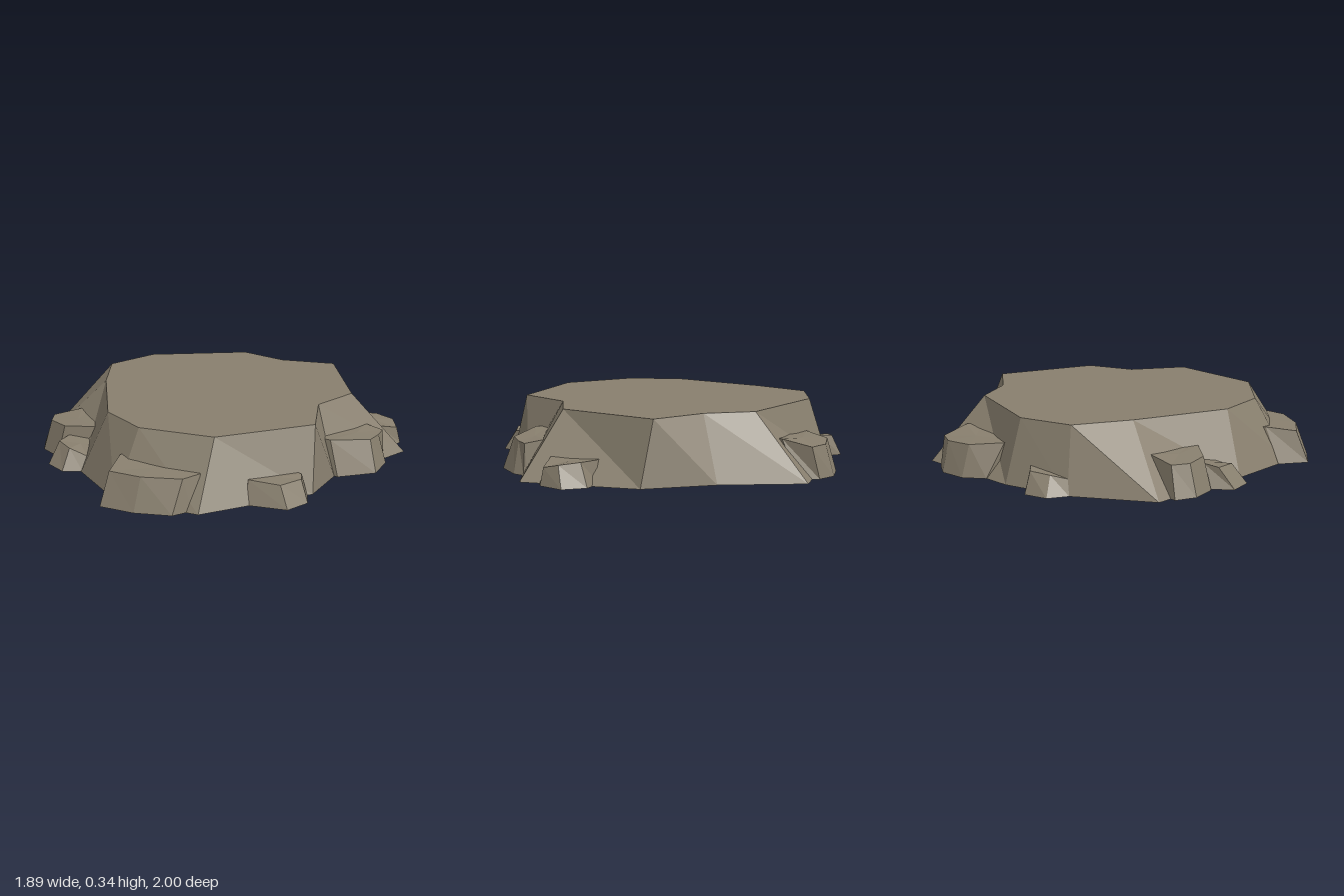
import * as THREE from 'three';

const stone = new THREE.MeshStandardMaterial({ color: 0x887f6e, flatShading: true, side: THREE.DoubleSide });
stone.name = 'stone';

// Faceted wall between a lower and an upper outline, with a cap on the upper one.
// Outlines run from the back through +x to the front; the underside stays open.
function facetedBlock(name, lower, upper, closed) {
  const pos = [];
  const tri = (...pts) => pts.forEach((p) => pos.push(p.x, p.y, p.z));
  const n = upper.length;
  const centre = new THREE.Vector3();
  upper.forEach((p) => centre.addScaledVector(p, 1 / n));
  for (let i = 0; i < n; i++) {
    const j = (i + 1) % n;
    tri(centre, upper[j], upper[i]);
    if (!closed && j === 0) continue;
    tri(lower[i], upper[i], upper[j]);
    tri(lower[i], upper[j], lower[j]);
  }
  const geo = new THREE.BufferGeometry();
  geo.setAttribute('position', new THREE.Float32BufferAttribute(pos, 3));
  geo.computeVertexNormals();
  const mesh = new THREE.Mesh(geo, stone);
  mesh.name = name;
  return mesh;
}

const v = (x, y, z) => new THREE.Vector3(x, y, z);

// Plateau corners: foot x, foot z, rim x, rim z
const HEIGHT = 0.335;
const plateau = [
  [-0.43, -1.0, -0.24, -0.755], [0.01, -0.895, 0.03, -0.735], [0.40, -0.88, 0.32, -0.835],
  [0.93, -0.54, 0.67, -0.39], [0.78, 0.0, 0.61, -0.12], [0.805, 0.28, 0.75, 0.17],
  [0.46, 0.82, 0.42, 0.61], [0.0, 0.89, 0.02, 0.70], [-0.38, 0.68, -0.26, 0.59],
  [-0.89, 0.355, -0.60, 0.16], [-0.89, -0.11, -0.77, -0.12], [-0.77, -0.47, -0.68, -0.41],
];

// Boulder corners: foot x, foot z, top x, top z, top y
const boulders = {
  frontBoulder: [
    [0.41, 0.80, 0.41, 0.72, 0.175], [0.36, 0.90, 0.37, 0.82, 0.17], [0.18, 0.975, 0.18, 0.91, 0.17],
    [-0.01, 1.0, 0.0, 0.93, 0.17], [-0.08, 0.85, -0.05, 0.77, 0.195],
  ],
  frontLowBoulder: [
    [-0.38, 0.67, -0.41, 0.55, 0.10], [-0.38, 0.67, -0.385, 0.62, 0.07], [-0.47, 0.73, -0.48, 0.65, 0.105],
    [-0.60, 0.685, -0.59, 0.60, 0.11], [-0.62, 0.56, -0.58, 0.52, 0.125],
  ],
  frontCornerBoulder: [
    [-0.50, 0.53, -0.45, 0.47, 0.18], [-0.63, 0.57, -0.61, 0.525, 0.17], [-0.77, 0.52, -0.74, 0.48, 0.165],
    [-0.84, 0.425, -0.79, 0.395, 0.165], [-0.79, 0.36, -0.69, 0.27, 0.185],
  ],
  sideLowBoulder: [
    [-0.89, -0.10, -0.86, -0.11, 0.08], [-0.95, -0.20, -0.88, -0.20, 0.10],
    [-0.91, -0.325, -0.86, -0.31, 0.11], [-0.80, -0.34, -0.78, -0.33, 0.115],
  ],
  backBoulder: [
    [-0.69, -0.60, -0.62, -0.52, 0.18], [-0.70, -0.73, -0.66, -0.70, 0.17], [-0.63, -0.86, -0.59, -0.84, 0.165],
    [-0.53, -0.91, -0.49, -0.90, 0.165], [-0.42, -0.89, -0.36, -0.82, 0.20],
  ],
  backLowBoulder: [
    [0.56, -0.70, 0.57, -0.69, 0.12], [0.64, -0.78, 0.66, -0.73, 0.12], [0.77, -0.78, 0.77, -0.72, 0.11],
    [0.85, -0.66, 0.83, -0.65, 0.09], [0.84, -0.60, 0.77, -0.54, 0.12],
  ],
  sideBoulder: [
    [0.86, -0.39, 0.77, -0.38, 0.18], [0.88, -0.385, 0.87, -0.38, 0.165], [0.92, -0.33, 0.885, -0.30, 0.165],
    [0.945, -0.16, 0.89, -0.19, 0.17], [0.80, 0.0, 0.74, -0.02, 0.19],
  ],
  sideFrontBoulder: [
    [0.79, 0.31, 0.76, 0.32, 0.115], [0.84, 0.395, 0.78, 0.36, 0.105],
    [0.80, 0.53, 0.74, 0.50, 0.11], [0.59, 0.59, 0.58, 0.545, 0.12],
  ],
};

export function createModel() {
  const group = new THREE.Group();
  group.name = 'rockPlateau';
  group.add(facetedBlock('plateau',
    plateau.map(([x, z]) => v(x, 0, z)),
    plateau.map(([, , x, z]) => v(x, HEIGHT, z)), true));

  for (const [name, corners] of Object.entries(boulders)) {
    // Both ends run on into the plateau so that the boulder stays embedded
    const inward = ([a, b, c, d, e]) => [a * 0.9, b * 0.9, c * 0.9, d * 0.9, e];
    const all = [inward(corners[0]), ...corners, inward(corners[corners.length - 1])];
    group.add(facetedBlock(name,
      all.map(([x, z]) => v(x, 0, z)),
      all.map(([, , x, z, y]) => v(x, y, z)), false));
  }
  return group;
}
